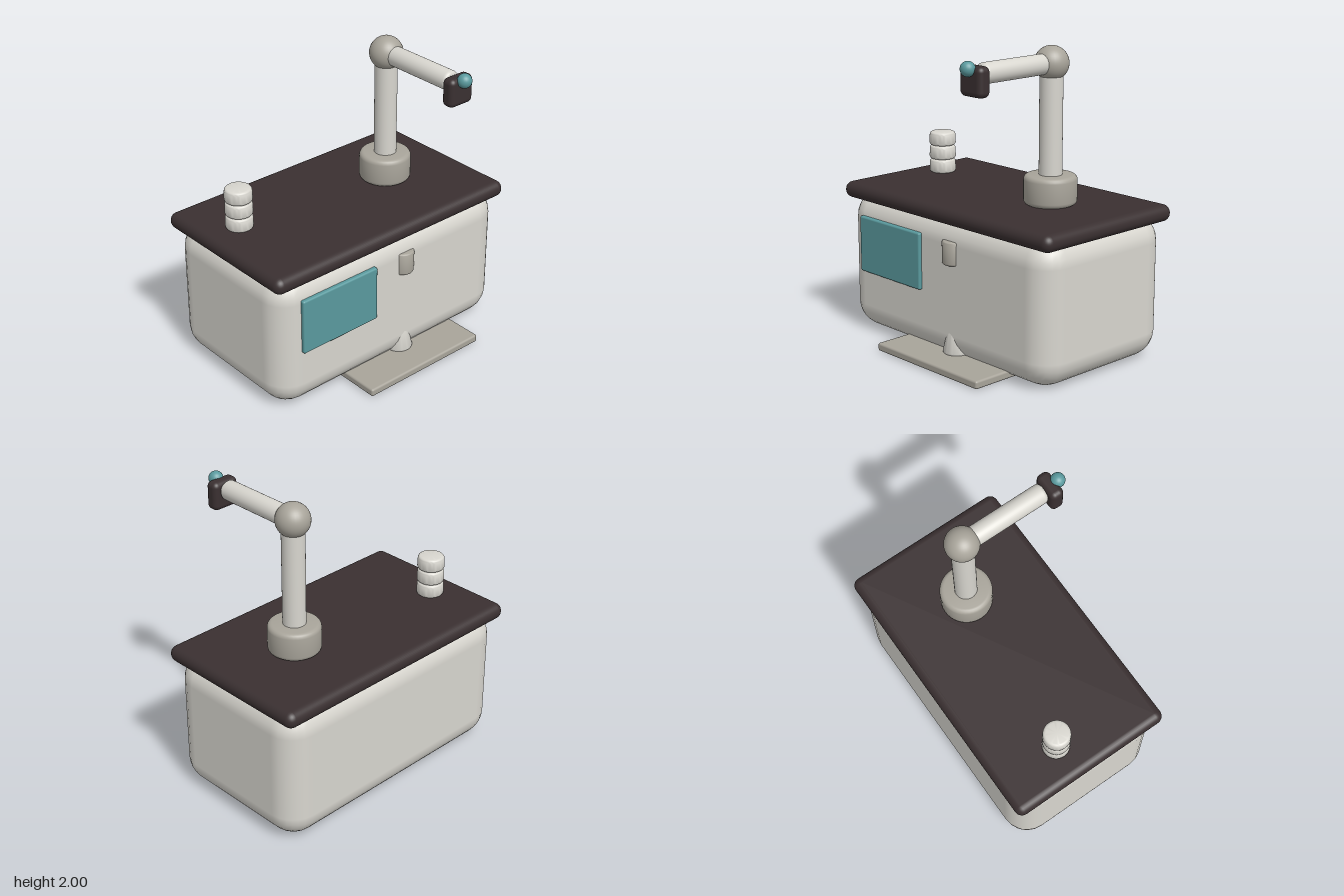
import * as THREE from 'three';
import { RoundedBoxGeometry } from 'three/addons/geometries/RoundedBoxGeometry.js';
import { toCreasedNormals } from 'three/addons/utils/BufferGeometryUtils.js';

function material(name, color) {
  const m = new THREE.MeshStandardMaterial({ color });
  m.name = name;
  return m;
}

export function createModel() {
  const group = new THREE.Group();
  const shell = material('pale shell', 0xd8d6cf);
  const grey = material('warm grey', 0xa8a49a);
  const dark = material('dark brown', 0x3a3031);
  const teal = material('teal', 0x5a9a9e);

  function add(name, geometry, mat, x, y, z) {
    const mesh = new THREE.Mesh(geometry, mat);
    mesh.name = name;
    mesh.position.set(x, y, z);
    group.add(mesh);
    return mesh;
  }

  // Rounded box given by its min and max corners
  function box(name, mat, [x0, y0, z0], [x1, y1, z1], radius, segments = 4) {
    const g = new RoundedBoxGeometry(x1 - x0, y1 - y0, z1 - z0, segments, radius);
    return add(name, g, mat, (x0 + x1) / 2, (y0 + y1) / 2, (z0 + z1) / 2);
  }

  // Upright cylinder or cone with rounded rims, standing on its origin
  function roundedCylinder(rBottom, rTop, height, bevel) {
    const points = [new THREE.Vector2(0, 0)];
    const steps = 4;
    for (let i = 0; i <= steps; i++) {
      const a = (i / steps) * Math.PI / 2;
      points.push(new THREE.Vector2(rBottom - bevel + bevel * Math.sin(a), bevel - bevel * Math.cos(a)));
    }
    for (let i = 0; i <= steps; i++) {
      const a = (i / steps) * Math.PI / 2;
      points.push(new THREE.Vector2(rTop - bevel + bevel * Math.cos(a), height - bevel + bevel * Math.sin(a)));
    }
    points.push(new THREE.Vector2(0, height));
    return toCreasedNormals(new THREE.LatheGeometry(points, 40), 0.7);
  }

  // Cabinet and worktop
  box('cabinet', shell, [-0.94, 0, -0.635], [0.94, 0.95, 0.455], 0.18, 3);
  box('worktop', dark, [-0.96, 0.89, -0.657], [0.96, 1.0, 0.47], 0.054);

  // Front fittings
  box('screen', teal, [-0.775, 0.418, 0.42], [-0.175, 0.796, 0.478], 0.012);
  add('knob', roundedCylinder(0.075, 0.077, 0.155, 0.014), grey, 0.09, 0.642, 0.414);
  box('footPlate', grey, [-0.38, 0.002, 0.28], [0.56, 0.055, 0.662], 0.014);
  add('footPeg', roundedCylinder(0.09, 0.06, 0.165, 0.02), shell, 0.09, 0.045, 0.395);

  // Stacked cups on the worktop
  for (let i = 0; i < 3; i++) {
    add('cup', roundedCylinder(0.09, 0.088, 0.092, 0.02), shell, -0.72, 0.998 + i * 0.0945, -0.212);
  }

  // Jointed arm
  const armX = 0.413, armZ = -0.11, armY = 1.89;
  add('armBase', roundedCylinder(0.17, 0.17, 0.19, 0.03), grey, armX, 1.0, armZ);
  add('armPost', new THREE.CylinderGeometry(0.074, 0.074, 0.73, 32), shell, armX, 1.515, armZ);
  add('elbow', new THREE.SphereGeometry(0.11, 32, 24), grey, armX, armY, armZ);
  const forearm = add('forearm', roundedCylinder(0.065, 0.065, 0.593, 0.025), shell, armX, armY, armZ);
  forearm.rotation.x = Math.PI / 2;

  // Head with its lamp
  box('armHead', dark, [0.318, 1.758, 0.484], [0.508, 1.946, 0.577], 0.035);
  add('lamp', new THREE.SphereGeometry(0.047, 24, 18), teal, armX, 1.93, 0.587);

  return group;
}
